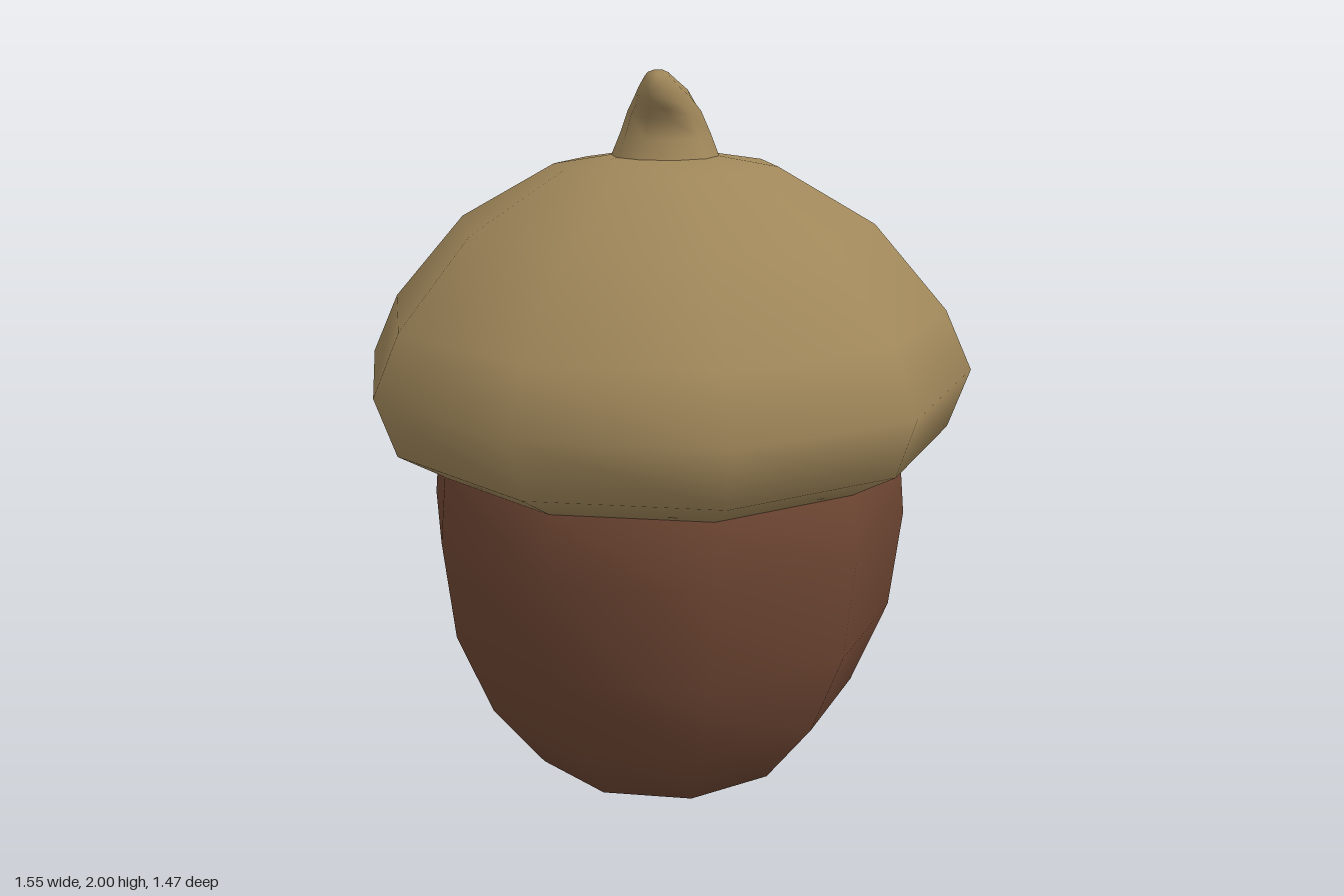
import * as THREE from 'three';

const SIDES = 10;

// Ten-sided turned shape; profile runs bottom to top as [radius, height], corners on the x axis
function turned(name, profile, material) {
  const points = profile.map(([r, y]) => new THREE.Vector2(r, y));
  const mesh = new THREE.Mesh(new THREE.LatheGeometry(points, SIDES, Math.PI / 2), material);
  mesh.name = name;
  return mesh;
}

// Bent stem: each ring is [back z, back y, front z, front y, half width]
function bentStem(rings, material) {
  const pos = [], idx = [];
  for (const [zb, yb, zf, yf, w] of rings) {
    for (let i = 0; i < SIDES; i++) {
      const a = (i / SIDES) * Math.PI * 2;
      const t = (1 + Math.sin(a)) / 2;
      pos.push(w * Math.cos(a), yb + (yf - yb) * t, zb + (zf - zb) * t);
    }
  }
  for (let r = 0; r < rings.length - 1; r++) {
    for (let i = 0; i < SIDES; i++) {
      const j = (i + 1) % SIDES;
      const a = r * SIDES + i, b = r * SIDES + j;
      idx.push(a, a + SIDES, b + SIDES, a, b + SIDES, b);
    }
  }
  // Rounded end
  const last = (rings.length - 1) * SIDES;
  const [zb, yb, zf, yf] = rings[rings.length - 1];
  pos.push(0, (yb + yf) / 2 + 0.005, (zb + zf) / 2 + 0.005);
  for (let i = 0; i < SIDES; i++) idx.push(last + i, last + SIDES, last + ((i + 1) % SIDES));

  const geo = new THREE.BufferGeometry();
  geo.setAttribute('position', new THREE.Float32BufferAttribute(pos, 3));
  geo.setIndex(idx);
  geo.computeVertexNormals();
  const mesh = new THREE.Mesh(geo, material);
  mesh.name = 'stem';
  return mesh;
}

export function createModel() {
  const group = new THREE.Group();
  group.name = 'acorn';
  const shell = new THREE.MeshStandardMaterial({ color: 0x6e4633 });
  const husk = new THREE.MeshStandardMaterial({ color: 0xa0875a });

  // Nut body with a slightly hollowed base
  group.add(turned('nut', [
    [0, 0.19], [0.08, 0.18], [0.19, 0.16], [0.37, 0.2], [0.51, 0.39],
    [0.6, 0.62], [0.627, 0.88], [0.61, 1.05], [0.56, 1.12],
  ], shell));

  // Pointed tip under the nut
  group.add(turned('tip', [
    [0, 0], [0.045, 0.035], [0.08, 0.075], [0.097, 0.125], [0.095, 0.2],
  ], shell));

  // Cap with a rim turned in under the edge
  group.add(turned('cap', [
    [0.56, 1.09], [0.61, 1.05], [0.725, 1.12], [0.775, 1.27], [0.705, 1.42],
    [0.52, 1.63], [0.28, 1.765], [0.13, 1.79], [0, 1.8],
  ], husk));

  // Stem leaning forward
  group.add(bentStem([
    [-0.135, 1.77, 0.14, 1.77, 0.142],
    [-0.115, 1.85, 0.1, 1.835, 0.112],
    [-0.09, 1.91, 0.115, 1.885, 0.09],
    [-0.045, 1.955, 0.145, 1.91, 0.068],
    [0.05, 1.98, 0.162, 1.935, 0.05],
    [0.12, 2.0, 0.163, 1.97, 0.03],
  ], husk));

  return group;
}
